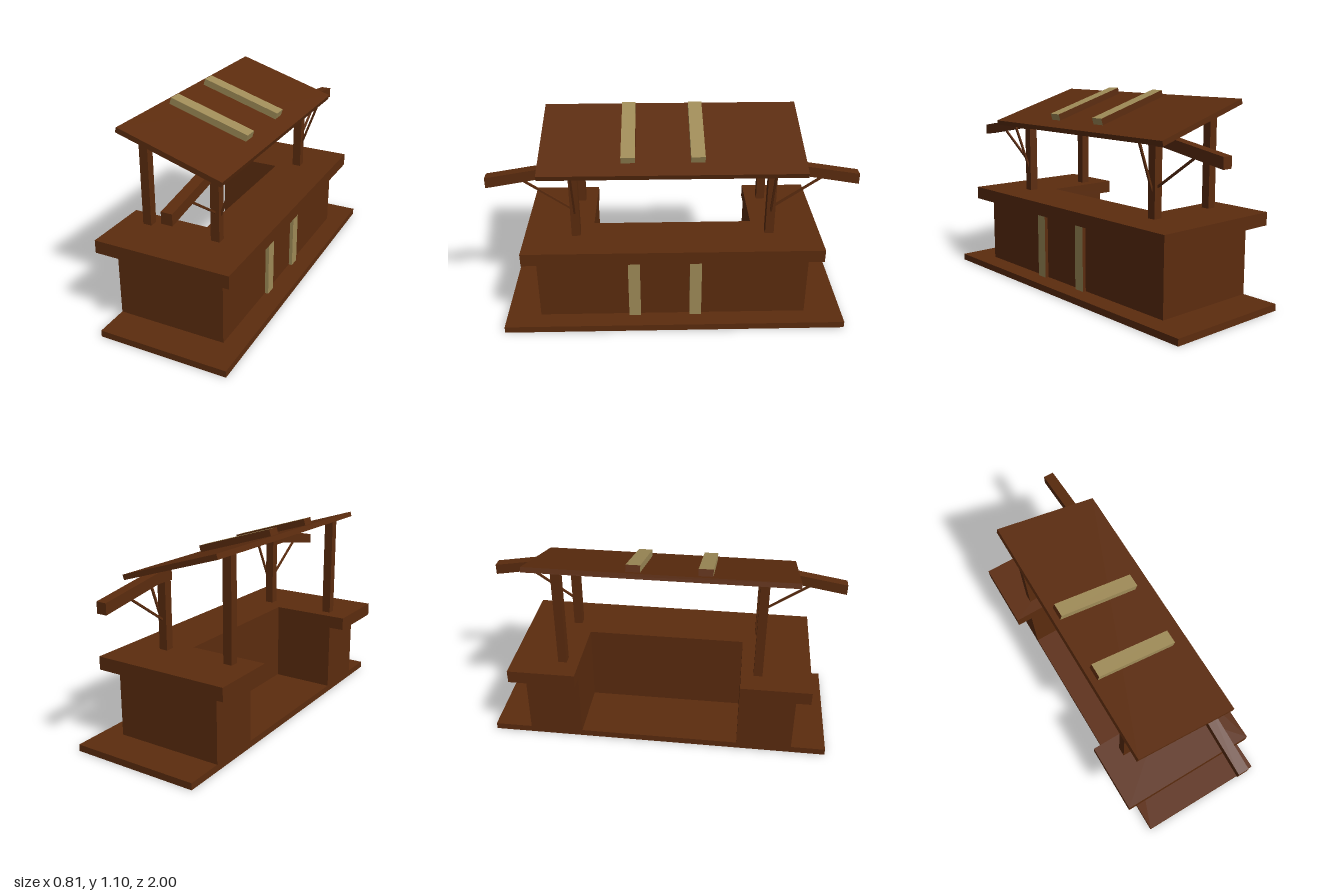
import * as THREE from 'three';

const brown = new THREE.MeshStandardMaterial({ color: 0x5c2c0e, flatShading: true });
const tan = new THREE.MeshStandardMaterial({ color: 0xa08c58, flatShading: true });
// Painted battens: light on the exposed sides, bare wood on the others
const batten = [tan, brown, tan, brown, tan, brown];

function add(parent, name, geometry, material = brown) {
  const mesh = new THREE.Mesh(geometry, material);
  mesh.name = name;
  parent.add(mesh);
  return mesh;
}

// Box given by its limits on each axis
function box(parent, name, [x0, x1], [y0, y1], [z0, z1], material) {
  const mesh = add(parent, name, new THREE.BoxGeometry(x1 - x0, y1 - y0, z1 - z0), material);
  mesh.position.set((x0 + x1) / 2, (y0 + y1) / 2, (z0 + z1) / 2);
  return mesh;
}

// U-shaped slab, open towards -x
function uSlab(parent, name, [x0, x1], [y0, y1], [z0, z1]) {
  const inner = 0.037, half = 0.445;
  const outline = [[x0, z0], [x1, z0], [x1, z1], [x0, z1], [x0, half], [inner, half], [inner, -half], [x0, -half]];
  const shape = new THREE.Shape(outline.map(([x, z]) => new THREE.Vector2(x, -z)));
  const geometry = new THREE.ExtrudeGeometry(shape, { depth: y1 - y0, bevelEnabled: false });
  geometry.rotateX(-Math.PI / 2).translate(0, y0, 0);
  add(parent, name, geometry);
}

// Thin square rod between two points
function rod(parent, name, from, to) {
  const a = new THREE.Vector3(...from), b = new THREE.Vector3(...to);
  const mesh = add(parent, name, new THREE.BoxGeometry(0.011, a.distanceTo(b), 0.011));
  mesh.position.copy(a).add(b).multiplyScalar(0.5);
  mesh.quaternion.setFromUnitVectors(new THREE.Vector3(0, 1, 0), b.sub(a).normalize());
}

export function createModel() {
  const stall = new THREE.Group();
  stall.name = 'marketStall';

  // Floor and counter
  box(stall, 'floor', [-0.32, 0.403], [0, 0.037], [-0.957, 0.943]);
  uSlab(stall, 'counterBody', [-0.32, 0.29], [0.037, 0.415], [-0.747, 0.753]);
  uSlab(stall, 'counterTop', [-0.405, 0.36], [0.415, 0.487], [-0.817, 0.823]);
  for (const z of [0.218, -0.123]) {
    box(stall, 'frontBatten', [0.29, 0.31], [0.037, 0.415], [z - 0.033, z + 0.033], batten);
  }

  // Posts, bent arms and braces at both ends
  for (const s of [-1, 1]) {
    const zs = [s * 0.537 - 0.024, s * 0.537 + 0.024];
    box(stall, 'tallPost', [-0.283, -0.233], [0.487, 1.043], zs);
    box(stall, 'shortPost', [0.123, 0.172], [0.487, 0.862], zs);

    const profile = [[0.51, 0.858], [0.62, 0.858], [1, 0.793], [1, 0.852], [0.62, 0.915], [0.51, 0.915]];
    const shape = new THREE.Shape(profile.map(([z, y]) => new THREE.Vector2(s * z, y)));
    const arm = new THREE.ExtrudeGeometry(shape, { depth: 0.058, bevelEnabled: false });
    arm.rotateY(-Math.PI / 2).translate(0.175, 0, 0);
    add(stall, 'arm', arm);

    rod(stall, 'armBrace', [0.148, 0.65, s * 0.555], [0.148, 0.832, s * 0.815]);
    rod(stall, 'roofBrace', [0.168, 0.63, s * 0.537], [0.258, 0.882, s * 0.537]);
  }

  // Sloping roof with two battens
  const roof = new THREE.Group();
  roof.name = 'roof';
  roof.position.set(-0.0185, 0.979, 0);
  roof.rotation.z = -0.295;
  box(roof, 'roofPanel', [-0.3, 0.3], [-0.014, 0.014], [-0.708, 0.714]);
  for (const z of [0.238, -0.133]) {
    box(roof, 'roofBatten', [-0.265, 0.203], [0.014, 0.051], [z - 0.038, z + 0.038], batten);
  }
  stall.add(roof);

  return stall;
}
